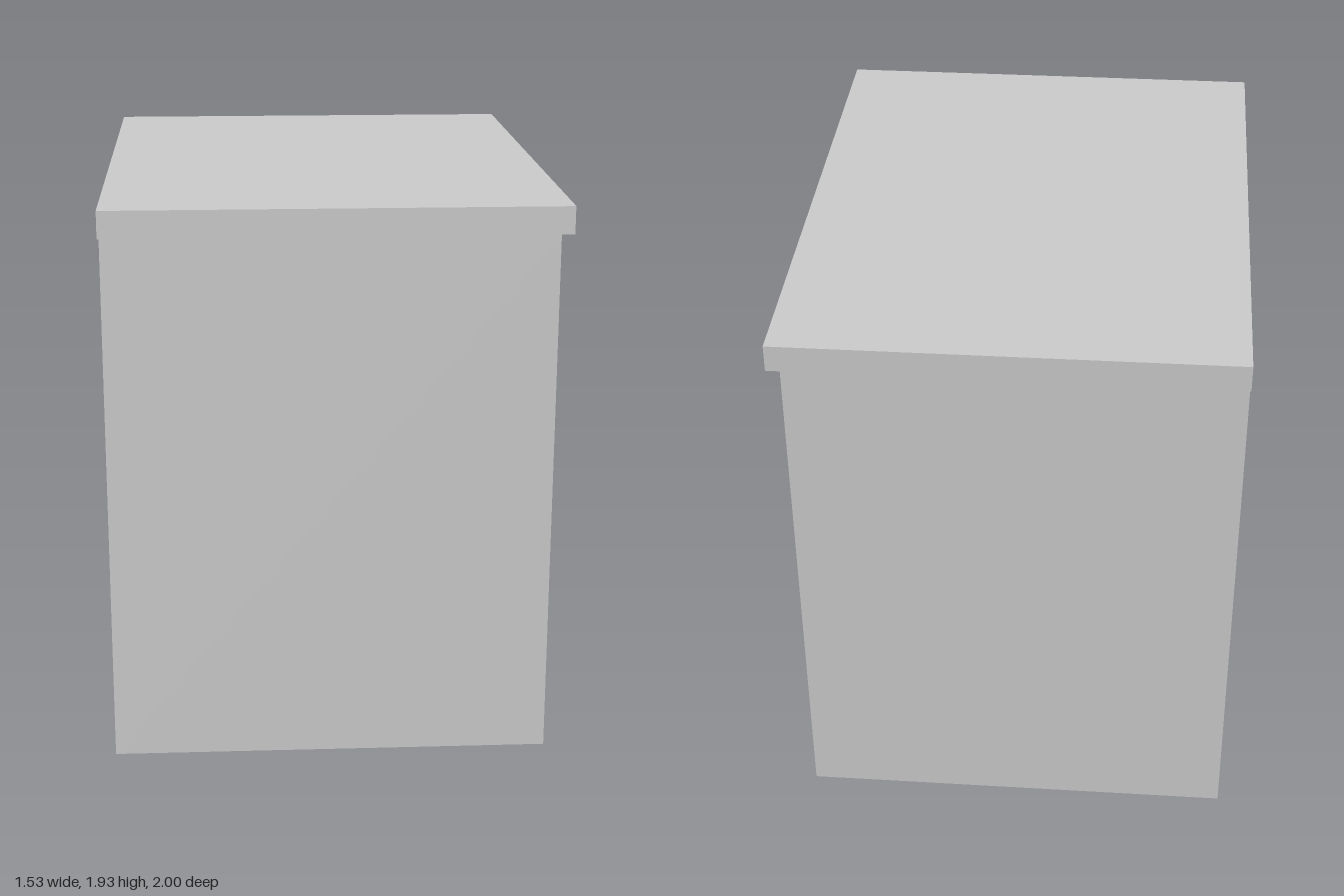
import * as THREE from 'three';

const material = new THREE.MeshStandardMaterial({ color: 0xcccccc, flatShading: true });

// Box given by its lower and upper corner
function slab(name, [x0, y0, z0], [x1, y1, z1]) {
  const mesh = new THREE.Mesh(new THREE.BoxGeometry(x1 - x0, y1 - y0, z1 - z0), material);
  mesh.position.set((x0 + x1) / 2, (y0 + y1) / 2, (z0 + z1) / 2);
  mesh.name = name;
  return mesh;
}

export function createModel() {
  const group = new THREE.Group();
  group.name = 'cabinet';
  group.add(
    // Overhanging worktop, flush with the cabinet on one side
    slab('worktop', [-0.765, 1.84, -1], [0.765, 1.932, 1]),
    // Main housing
    slab('housing', [-0.765, 0.02, -0.88], [0.722, 1.838, 0.87]),
    // Back panel reaching down to the floor
    slab('backPanel', [-0.763, 0, -0.97], [0.725, 1.84, -0.88]),
    // Recessed seal leaving a narrow groove behind the door
    slab('doorSeal', [-0.735, 0.2, 0.87], [0.695, 1.84, 0.89]),
    // Solid sill that closes the groove near the floor
    slab('sill', [-0.765, 0.02, 0.87], [0.722, 0.205, 0.89]),
    // Front door
    slab('door', [-0.76, 0.027, 0.89], [0.725, 1.84, 0.982]),
  );
  return group;
}
